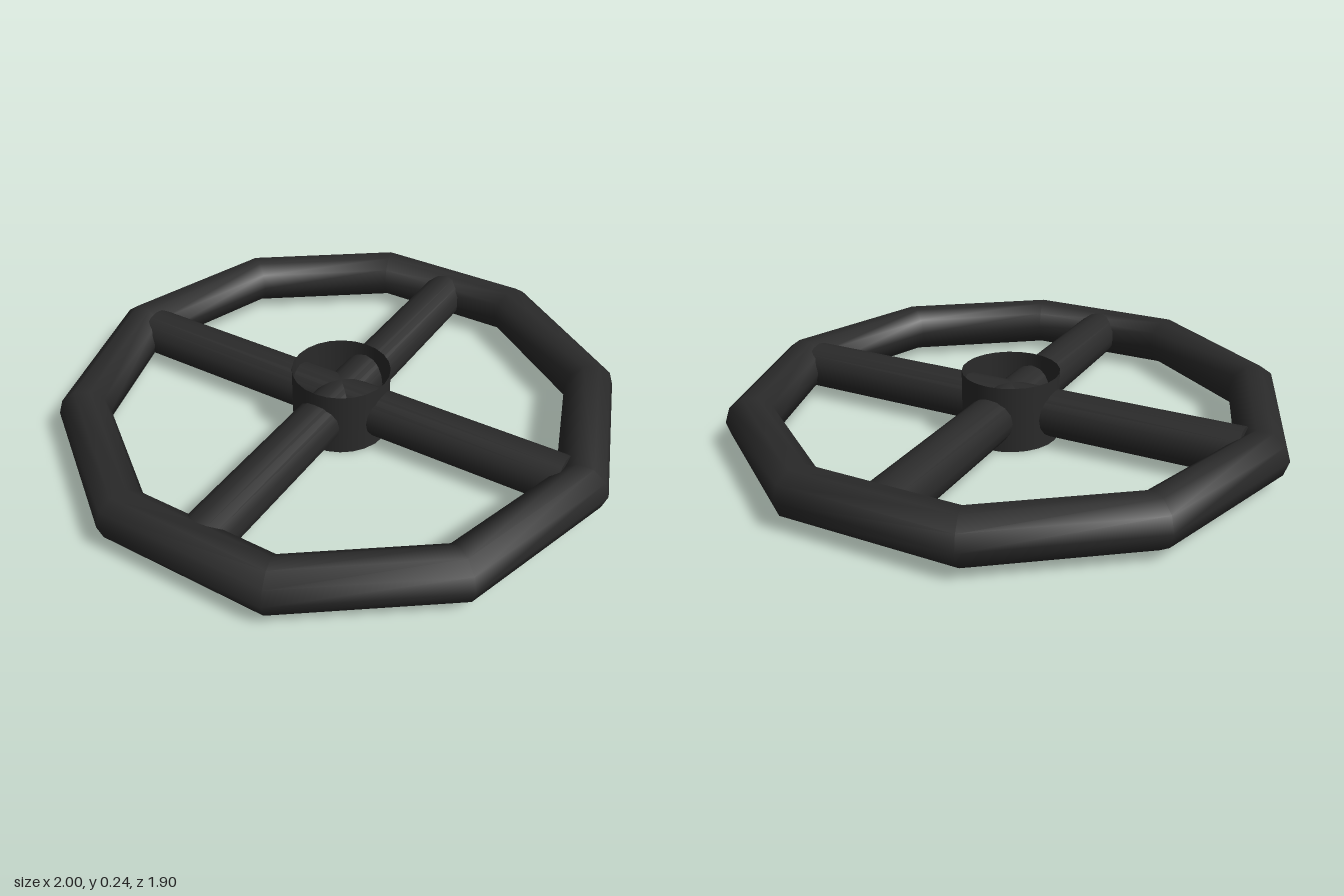
import * as THREE from 'three';

export function createModel() {
  const wheel = new THREE.Group();
  wheel.name = 'handWheel';
  const dark = new THREE.MeshStandardMaterial({ color: 0x2a2a2a });
  const darkOpen = new THREE.MeshStandardMaterial({ color: 0x2a2a2a, side: THREE.DoubleSide });
  const midY = 0.107;

  const add = (name, geometry, material, y) => {
    const mesh = new THREE.Mesh(geometry, material);
    mesh.name = name;
    mesh.position.y = y;
    wheel.add(mesh);
    return mesh;
  };

  // Ten-sided rim, with corners on the x axis
  add('rim', new THREE.TorusGeometry(0.91, 0.09, 10, 10).rotateX(Math.PI / 2), dark, midY);

  // Two crossing bars form the four spokes
  for (const [name, angle] of [['sideSpokes', 0], ['frontBackSpokes', Math.PI / 2]]) {
    const bar = new THREE.CylinderGeometry(0.085, 0.085, 1.69, 16).rotateZ(Math.PI / 2);
    add(name, bar, dark, midY).rotation.y = angle;
  }

  // Hub: a cup open at the top, closed underneath
  const hubRadius = 0.175, hubHeight = 0.24;
  add('hubWall', new THREE.CylinderGeometry(hubRadius, hubRadius, hubHeight, 24, 1, true), darkOpen, hubHeight / 2);
  add('hubBase', new THREE.CircleGeometry(hubRadius, 24).rotateX(Math.PI / 2).rotateY(Math.PI / 2), darkOpen, 0);

  return wheel;
}
